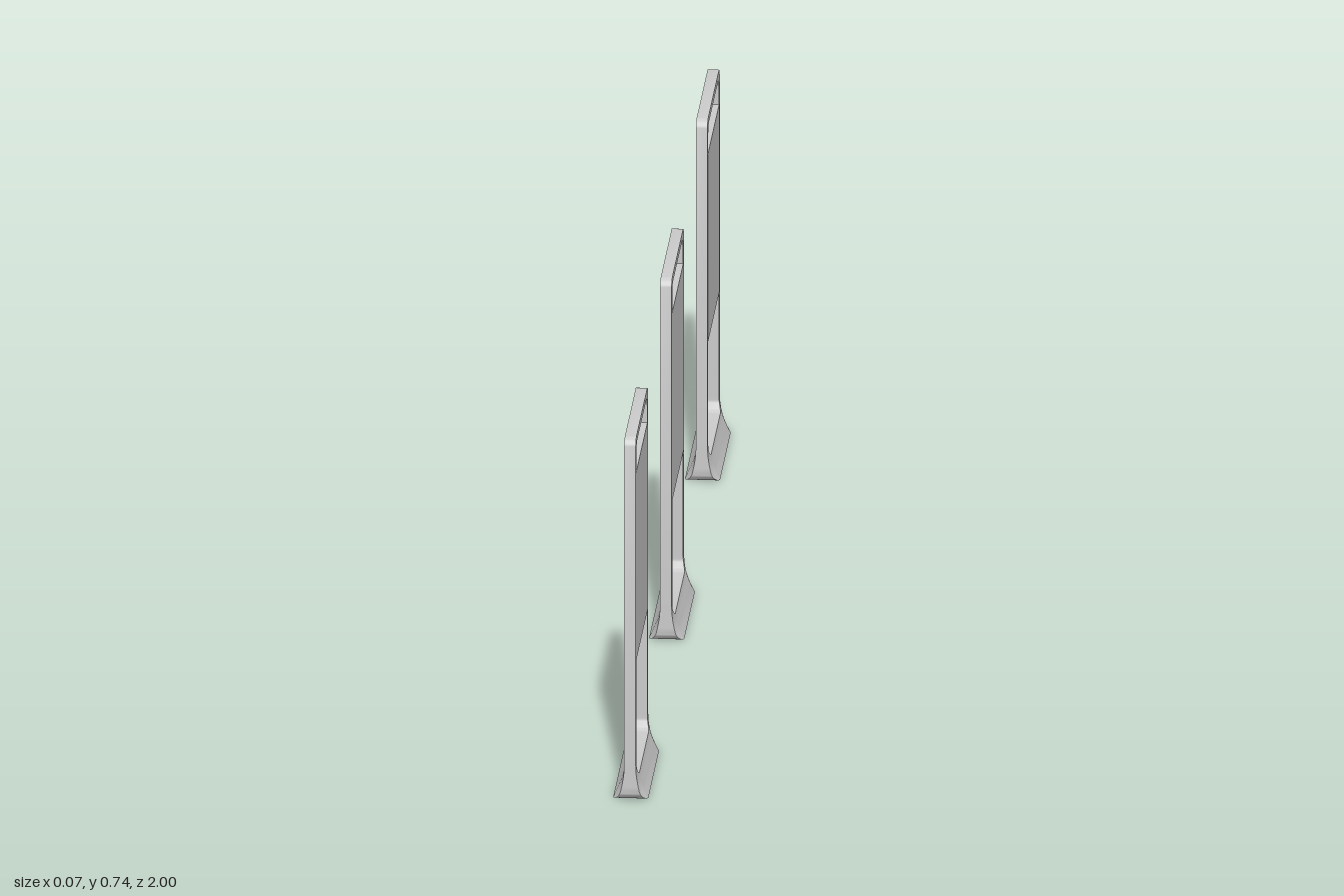
import * as THREE from 'three';
import { toCreasedNormals } from 'three/addons/utils/BufferGeometryUtils.js';

const HALF_W = 0.147, HEIGHT = 0.74, HALF_T = 0.011;
const FLARE_TOP = 0.07;

// Half thickness of the frame: slim above, flaring into a foot with rounded ends
function halfThickness(z, y) {
  const k = Math.max(0, 1 - y / FLARE_TOP);
  const d = THREE.MathUtils.clamp((Math.abs(z) - 0.117) / 0.03, 0, 1);
  return HALF_T + 0.024 * Math.pow(k, 1.7) * (1 - 0.5 * d * d);
}

// Rounded rectangle in (z, y), with extra points low on the uprights
function contour(halfW, y0, y1, r, sideYs) {
  const pts = [];
  const arc = (cz, cy, start) => {
    for (let i = 0; i <= 6; i++) {
      const a = start + (i / 6) * Math.PI / 2;
      pts.push([cz + r * Math.cos(a), cy + r * Math.sin(a)]);
    }
  };
  arc(-halfW + r, y0 + r, Math.PI);
  arc(halfW - r, y0 + r, Math.PI * 1.5);
  sideYs.forEach(y => pts.push([halfW, y]));
  arc(halfW - r, y1 - r, 0);
  arc(-halfW + r, y1 - r, Math.PI / 2);
  [...sideYs].reverse().forEach(y => pts.push([-halfW, y]));
  return pts;
}

// Closed frame with its flared foot, swept around the opening
function frameGeometry() {
  const outer = contour(HALF_W, 0, HEIGHT, 0.02, [0.03, 0.042, 0.055, 0.075]);
  const inner = contour(0.128, 0.045, 0.725, 0.02, [0.067, 0.069, 0.071, 0.075]);
  const n = outer.length, steps = 6, ring = 2 * (steps + 1);
  const pos = [], idx = [];
  for (let i = 0; i < n; i++) {
    for (let j = 0; j < ring; j++) {
      const front = j <= steps;
      const t = (front ? j : ring - 1 - j) / steps;
      const z = THREE.MathUtils.lerp(outer[i][0], inner[i][0], t);
      const y = THREE.MathUtils.lerp(outer[i][1], inner[i][1], t);
      pos.push((front ? 1 : -1) * halfThickness(z, y), y, z);
      const i2 = (i + 1) % n, j2 = (j + 1) % ring;
      const a = i * ring + j, b = i * ring + j2, c = i2 * ring + j2, d = i2 * ring + j;
      idx.push(a, b, c, a, c, d);
    }
  }
  const g = new THREE.BufferGeometry();
  g.setAttribute('position', new THREE.Float32BufferAttribute(pos, 3));
  g.setIndex(idx);
  return toCreasedNormals(g, 0.6);
}

export function createModel() {
  const model = new THREE.Group();
  model.name = 'displayStands';
  const material = new THREE.MeshStandardMaterial({ color: 0xcccccc });
  const frameGeo = frameGeometry();
  const panelGeo = new THREE.BoxGeometry(0.0228, 0.385, 0.28);

  // Three identical stands in a row
  [-1, 0, 1].forEach(k => {
    const stand = new THREE.Group();
    stand.name = 'stand';
    const frame = new THREE.Mesh(frameGeo, material);
    frame.name = 'frame';
    const panel = new THREE.Mesh(panelGeo, material);
    panel.name = 'panel';
    panel.position.y = 0.4775;
    stand.add(frame, panel);
    stand.position.z = k * (1 - HALF_W);
    model.add(stand);
  });
  return model;
}
